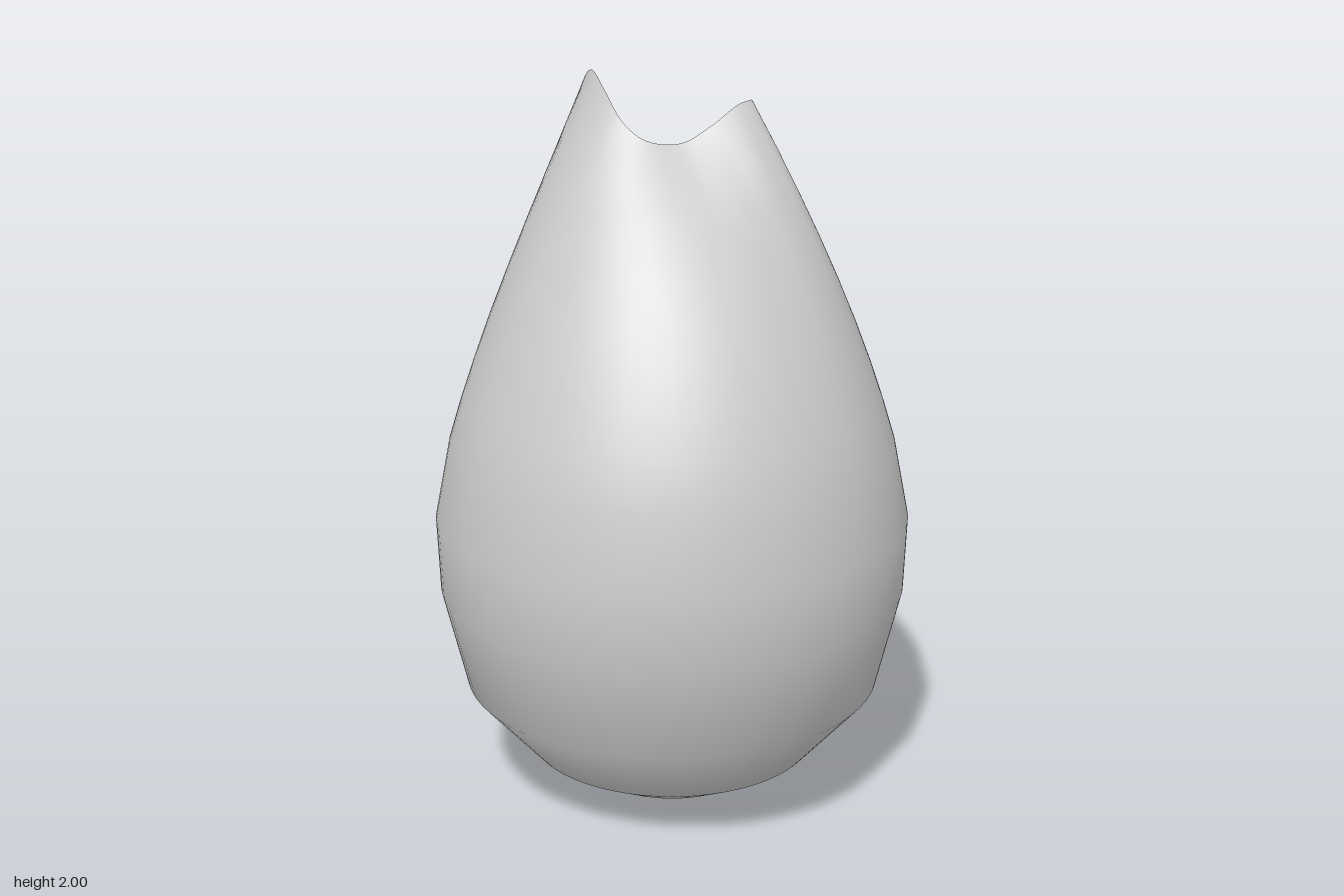
import * as THREE from 'three';

// Round lower body, [radius, height] from the base up
const PROFILE = [
  [0, 0], [0.09, 0.008], [0.25, 0.055], [0.4, 0.14], [0.57, 0.335],
  [0.635, 0.61], [0.642, 0.81], [0.6, 1.02],
];

// Wavy rim of the opening, [angle in degrees on the body, x, y, z]
const RIM = [
  [20, 0.19, 1.93, 0.08], [27, 0.18, 1.935, 0.1], [35, 0.15, 1.925, 0.097],
  [55, 0.08, 1.87, 0.085], [78, 0, 1.83, 0.087], [118, -0.09, 1.84, 0.085],
  [148, -0.14, 1.88, 0.05], [180, -0.172, 1.955, -0.02], [202, -0.19, 2.0, -0.08],
  [218, -0.198, 1.97, -0.14], [236, -0.17, 1.86, -0.21], [258, -0.09, 1.74, -0.255],
  [275, -0.04, 1.72, -0.23], [292, 0, 1.745, -0.15], [308, 0.015, 1.775, -0.07],
  [325, 0.04, 1.8, -0.03], [345, 0.12, 1.84, 0.01], [368, 0.18, 1.9, 0.05],
];

const STEPS = 6; // columns between rim points
const UPPER = 8; // rows between the round body and the rim

function createBody() {
  const curve = new THREE.CatmullRomCurve3(
    RIM.map(([, x, y, z]) => new THREE.Vector3(x, y, z)), true, 'centripetal');
  const columns = RIM.length * STEPS;
  const rows = PROFILE.length + UPPER;
  const positions = [];
  const indices = [];

  for (let j = 0; j < columns; j++) {
    const k = Math.floor(j / STEPS);
    const from = RIM[k][0];
    const to = k + 1 < RIM.length ? RIM[k + 1][0] : RIM[0][0] + 360;
    const angle = THREE.MathUtils.degToRad(from + (to - from) * (j % STEPS) / STEPS);
    const onCircle = (r, y) => new THREE.Vector3(r * Math.cos(angle), y, r * Math.sin(angle));

    // lower rows follow the round profile
    for (const [r, y] of PROFILE) positions.push(...onCircle(r, y).toArray());

    // upper rows sweep from the widest circle into the rim
    const sweep = new THREE.QuadraticBezierCurve3(
      onCircle(0.6, 1.02), onCircle(0.475, 1.45), curve.getPoint(j / columns));
    for (let i = 1; i <= UPPER; i++) positions.push(...sweep.getPoint(i / UPPER).toArray());

    const a = j * rows;
    const b = ((j + 1) % columns) * rows;
    for (let i = 0; i < rows - 1; i++) {
      if (i > 0) indices.push(a + i, a + i + 1, b + i);
      indices.push(b + i, a + i + 1, b + i + 1);
    }
  }

  const geometry = new THREE.BufferGeometry();
  geometry.setAttribute('position', new THREE.Float32BufferAttribute(positions, 3));
  geometry.setIndex(indices);
  geometry.computeVertexNormals();
  // the base pole faces straight down
  const normals = geometry.attributes.normal;
  for (let j = 0; j < columns; j++) normals.setXYZ(j * rows, 0, -1, 0);
  return geometry;
}

export function createModel() {
  const group = new THREE.Group();
  group.name = 'budVase';
  const material = new THREE.MeshStandardMaterial({ color: 0xcccccc, side: THREE.DoubleSide });
  const shell = new THREE.Mesh(createBody(), material);
  shell.name = 'shell';
  group.add(shell);
  return group;
}
